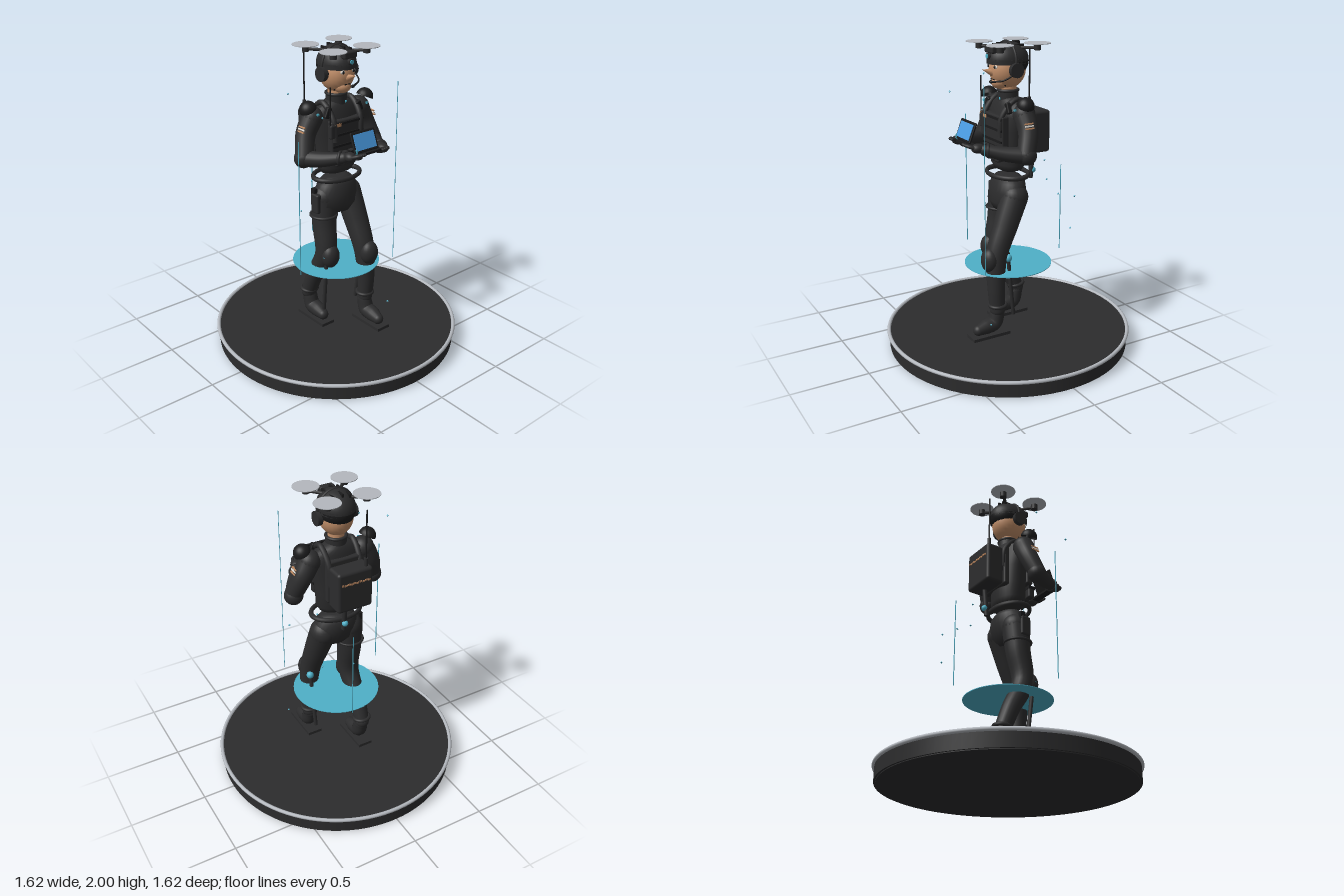
import * as THREE from 'three';
import { mergeVertices } from 'three/addons/utils/BufferGeometryUtils.js';
import { RoundedBoxGeometry } from 'three/addons/geometries/RoundedBoxGeometry.js';

const V = (a) => new THREE.Vector3(...a);

export function createModel() {
  const root = new THREE.Group();
  root.name = 'fieldOperator';
  const mat = (name, color, side = THREE.FrontSide) => {
    const m = new THREE.MeshStandardMaterial({ color, side });
    m.name = name;
    return m;
  };
  const dark = mat('charcoal', 0x2c2c2d);
  const black = mat('black', 0x1b1b1c, THREE.DoubleSide);
  const skin = mat('skin', 0xc4906a);
  const teal = mat('teal', 0x4fb0c8);
  const silver = mat('silver', 0xb4b8be);
  const blue = mat('screenBlue', 0x4a9be2);
  const tan = mat('tan', 0xbd8860);
  const white = mat('eyeWhite', 0xe0ddd6);

  // ---- helpers ----
  const add = (name, geo, m, p = [0, 0, 0], r = [0, 0, 0], s = [1, 1, 1]) => {
    const mesh = new THREE.Mesh(geo, m);
    mesh.name = name;
    mesh.position.set(...p);
    mesh.rotation.set(...r);
    mesh.scale.set(...s);
    root.add(mesh);
    return mesh;
  };
  const box = (name, size, p, m = dark, r) => add(name, new THREE.BoxGeometry(...size), m, p, r);
  const soft = (name, size, p, m = dark, r, rad = 0.012) =>
    add(name, new RoundedBoxGeometry(...size, 3, rad), m, p, r);
  const ball = (name, s, p, m = dark, r) => add(name, new THREE.SphereGeometry(1, 24, 16), m, p, r, s);
  const disc = (name, rad, h, p, m = dark, r, seg = 24) =>
    add(name, new THREE.CylinderGeometry(rad, rad, h, seg), m, p, r);
  const rod = (name, a, b, rad, m = dark) => {
    const d = V(b).sub(V(a));
    const mesh = disc(name, rad, d.length(), V(a).add(V(b)).multiplyScalar(0.5).toArray(), m, undefined, 10);
    mesh.quaternion.setFromUnitVectors(new THREE.Vector3(0, 1, 0), d.normalize());
    return mesh;
  };
  // tapered tube through points [x, y, z, radius], with round ends
  const limb = (name, pts, m = dark) => {
    const curve = new THREE.CatmullRomCurve3(pts.map((p) => V(p.slice(0, 3))));
    const n = 20, sides = 18;
    const geo = new THREE.TubeGeometry(curve, n, 1, sides);
    const pos = geo.attributes.position, v = new THREE.Vector3();
    for (let i = 0; i <= n; i++) {
      const c = curve.getPointAt(i / n);
      const t = curve.getUtoTmapping(i / n) * (pts.length - 1);
      const k = Math.min(Math.floor(t), pts.length - 2);
      const rad = THREE.MathUtils.lerp(pts[k][3], pts[k + 1][3], t - k);
      for (let j = 0; j <= sides; j++) {
        const q = i * (sides + 1) + j;
        v.fromBufferAttribute(pos, q).sub(c).multiplyScalar(rad).add(c);
        pos.setXYZ(q, v.x, v.y, v.z);
      }
    }
    add(name, geo, m);
    for (const p of [pts[0], pts[pts.length - 1]]) ball(name + 'End', [p[3], p[3], p[3]], p.slice(0, 3), m);
  };
  // stacked elliptical sections [y, halfWidth, halfDepth, z], top first
  const loft = (name, rings, m = dark) => {
    let geo = new THREE.CylinderGeometry(1, 1, 1, 28, rings.length - 1);
    const pos = geo.attributes.position;
    for (let i = 0; i < pos.count; i++) {
      const [y, rx, rz, z] = rings[Math.round((0.5 - pos.getY(i)) * (rings.length - 1))];
      pos.setXYZ(i, pos.getX(i) * rx, y, pos.getZ(i) * rz + z);
    }
    geo.deleteAttribute('normal');
    geo.deleteAttribute('uv');
    geo = mergeVertices(geo, 1e-5);
    geo.computeVertexNormals();
    add(name, geo, m);
  };
  const ring = (name, rad, tube, p, m, r, s) => add(name, new THREE.TorusGeometry(rad, tube, 10, 40), m, p, r, s);
  const flat = [Math.PI / 2, 0, 0];

  // ---- base and glowing disc ----
  disc('base', 0.792, 0.1, [0, 0.055, 0], dark, undefined, 96);
  disc('baseBottom', 0.78, 0.012, [0, 0.006, 0], dark, undefined, 96);
  add('baseRim', new THREE.TorusGeometry(0.796, 0.012, 10, 96), silver, [0, 0.104, 0], flat);
  disc('scanDisc', 0.285, 0.004, [0, 0.55, 0], teal, undefined, 64);

  // ---- legs: the left one steps forward ----
  loft('pelvis', [[1.15, 0.06, 0.04, 0], [1.143, 0.1, 0.075, 0], [1.11, 0.135, 0.098, 0], [1.05, 0.16, 0.105, 0.005],
    [0.98, 0.165, 0.1, 0.015], [0.93, 0.09, 0.07, 0.025]]);
  limb('leftLeg', [[0.09, 1.02, 0.005, 0.088], [0.102, 0.85, 0.075, 0.08], [0.113, 0.65, 0.15, 0.068],
    [0.125, 0.45, 0.16, 0.057], [0.126, 0.29, 0.152, 0.05]]);
  limb('rightLeg', [[-0.09, 1.02, -0.005, 0.088], [-0.102, 0.85, 0.005, 0.08], [-0.113, 0.64, 0.03, 0.068],
    [-0.125, 0.45, -0.068, 0.057], [-0.126, 0.29, -0.135, 0.05]]);
  for (const [s, z, kz] of [[1, 0.15, 0.2], [-1, -0.13, 0.08]]) {
    const x = s * 0.122;
    ball('kneePad', [0.062, 0.08, 0.055], [s * 0.113, 0.635, kz]);
    ring('ankleCuff', 0.052, 0.012, [s * 0.126, 0.32, z], dark, [Math.PI / 2 + (s < 0 ? 0.1 : 0), 0, 0]);
    limb('boot', [[x, 0.27, z, 0.047], [x, 0.2, z + 0.025, 0.052], [x, 0.183, z + 0.09, 0.05], [x, 0.17, z + 0.14, 0.036]]);
    box('bootSole', [0.1, 0.02, 0.265], [x, 0.125, z + 0.065]);
    ball('kneeJoint', [0.024, 0.026, 0.024], [s * 0.15, 0.64, 0.085], teal);
    rod('kneePiston', [s * 0.148, 0.62, 0.083], [s * 0.138, 0.235, 0.04], 0.013);
  }
  soft('holster', [0.035, 0.13, 0.07], [-0.172, 1.0, 0.01]);
  box('holsterGrip', [0.025, 0.05, 0.035], [-0.17, 1.07, -0.01], black);
  ring('thighStrap', 0.084, 0.009, [-0.104, 0.905, 0.002], dark, flat);
  ring('waistRing', 0.165, 0.016, [0, 1.16, 0.005], dark, flat, [1, 0.72, 1]);

  // ---- torso and vest ----
  loft('torso', [[1.66, 0.05, 0.05, -0.005], [1.635, 0.1, 0.068, -0.005], [1.6, 0.17, 0.08, -0.005], [1.54, 0.175, 0.092, 0],
    [1.45, 0.155, 0.1, 0], [1.33, 0.14, 0.102, 0], [1.23, 0.136, 0.098, 0], [1.195, 0.115, 0.08, 0], [1.175, 0.06, 0.04, 0]]);
  soft('chestPlate', [0.25, 0.2, 0.05], [0, 1.45, 0.09]);
  soft('backPlate', [0.24, 0.28, 0.04], [0, 1.44, -0.09]);
  for (const x of [-0.084, -0.028, 0.028, 0.084]) {
    soft('pouch', [0.05, 0.085, 0.045], [x, 1.305, 0.115]);
    box('pouchFlap', [0.052, 0.022, 0.05], [x, 1.335, 0.115], black);
  }
  for (const y of [1.39, 1.46, 1.53]) box('webbing', [0.24, 0.014, 0.008], [0, y, 0.117], black);
  box('chestPatch', [0.05, 0.02, 0.006], [-0.085, 1.525, 0.122], tan);
  box('chestLight', [0.012, 0.012, 0.006], [0.02, 1.645, 0.07], teal);
  soft('chestRadio', [0.05, 0.09, 0.035], [-0.12, 1.49, 0.11]);
  rod('radioAntenna', [-0.14, 1.5, 0.115], [-0.14, 1.77, 0.115], 0.004, black);
  disc('collar', 0.066, 0.08, [0, 1.655, 0]);
  ring('collarRim', 0.062, 0.01, [0, 1.69, 0], dark, flat);

  // ---- arms ----
  for (const s of [-1, 1]) {
    limb('upperArm', [[s * 0.185, 1.565, -0.005, 0.07], [s * 0.235, 1.47, -0.005, 0.063], [s * 0.28, 1.34, 0.035, 0.056]]);
    ball('elbowPad', [0.06, 0.06, 0.06], [s * 0.28, 1.335, 0.03]);
    limb('forearm', [[s * 0.28, 1.335, 0.035, 0.052], [s * 0.22, 1.345, 0.14, 0.046], [s * 0.15, 1.37, 0.25, 0.034]]);
    ring('gloveCuff', 0.036, 0.01, [s * 0.162, 1.366, 0.23], dark, [0, -s * 0.57, 0]);
    ball('hand', [0.036, 0.03, 0.042], [s * 0.13, 1.38, 0.285]);
    for (let i = 0; i < 3; i++)
      limb('finger', [[s * (0.145 - i * 0.018), 1.38, 0.3, 0.012], [s * (0.125 - i * 0.018), 1.395, 0.34, 0.011],
        [s * (0.1 - i * 0.014), 1.4, 0.355, 0.009]]);
    // shoulder sensor dish and harness
    add('shoulderDish', new THREE.SphereGeometry(0.055, 20, 10, 0, Math.PI * 2, 0, Math.PI / 2), black,
      [s * 0.225, 1.625, 0.01], [0, 0, -s * 0.45]);
    rod('dishStem', [s * 0.19, 1.59, 0], [s * 0.225, 1.65, 0.01], 0.012);
    box('dishLight', [0.012, 0.012, 0.012], [s * 0.195, 1.6, 0.065], teal);
    const strap = new THREE.CatmullRomCurve3([[0.1, 1.42, 0.115], [0.105, 1.56, 0.1], [0.11, 1.648, 0], [0.105, 1.56, -0.1],
      [0.1, 1.42, -0.115]].map(([x, y, z]) => new THREE.Vector3(s * x, y, z)));
    add('shoulderStrap', new THREE.TubeGeometry(strap, 24, 0.018, 8), dark);
    soft('strapBuckle', [0.035, 0.07, 0.03], [s * 0.125, 1.6, 0.07], black, [0, 0, s * 0.4], 0.008);
    // sleeve badge in plain bands
    for (let i = 0; i < 3; i++)
      box('sleeveBadge', [0.008, 0.009, 0.058], [s * (0.286 + i * -0.005), 1.5 + i * 0.014, 0.015], i === 1 ? white : tan, [0, 0, s * 0.35]);
  }

  // ---- tablet ----
  const tilt = [-0.38, 0, 0];
  soft('tabletBody', [0.19, 0.13, 0.014], [-0.02, 1.458, 0.285], black, tilt, 0.006);
  box('tabletScreen', [0.16, 0.1, 0.004], [-0.02, 1.461, 0.293], blue, tilt);
  box('tabletShelf', [0.26, 0.014, 0.05], [0, 1.385, 0.295], black);
  box('tabletLight', [0.012, 0.05, 0.01], [-0.1, 1.4, 0.31], teal);

  // ---- backpack ----
  soft('backpack', [0.24, 0.27, 0.125], [0, 1.425, -0.178], dark, undefined, 0.02);
  for (let i = 0; i < 10; i++)
    box('packMarking', [0.016, 0.011, 0.006], [-0.09 + i * 0.02, 1.48 + (i % 2) * 0.004, -0.241], tan);
  rod('packAntenna', [-0.085, 1.5, -0.208], [-0.085, 1.92, -0.208], 0.005, black);
  disc('antennaBase', 0.012, 0.06, [-0.085, 1.58, -0.208]);
  rod('packTube', [0.03, 1.3, -0.165], [0.03, 1.11, -0.148], 0.016);
  ball('packTubeLight', [0.02, 0.02, 0.02], [0.03, 1.16, -0.165], teal);

  // ---- head ----
  disc('neck', 0.052, 0.08, [0, 1.705, 0], skin);
  ball('head', [0.104, 0.122, 0.118], [0, 1.82, 0.005], skin);
  ball('chin', [0.055, 0.045, 0.06], [0, 1.745, 0.055], skin);
  add('nose', new THREE.ConeGeometry(0.026, 0.085, 12), skin, [0, 1.815, 0.142], [1.25, 0, 0]);
  for (const s of [-1, 1]) {
    ball('eye', [0.018, 0.011, 0.008], [s * 0.04, 1.842, 0.11], white);
    ball('pupil', [0.009, 0.01, 0.005], [s * 0.04, 1.842, 0.116], black);
    box('eyebrow', [0.036, 0.007, 0.008], [s * 0.042, 1.863, 0.107], black, [0, s * 0.35, s * 0.1]);
    disc('earCup', 0.045, 0.03, [s * 0.12, 1.825, 0.01], dark, [0, 0, Math.PI / 2]);
    disc('earCushion', 0.038, 0.03, [s * 0.1, 1.825, 0.01], black, [0, 0, Math.PI / 2]);
    rod('helmetStrap', [s * 0.098, 1.84, 0.03], [s * 0.05, 1.725, 0.05], 0.006, black);
  }
  box('mouth', [0.042, 0.007, 0.008], [0, 1.763, 0.106], black);
  limb('microphoneBoom', [[0.125, 1.8, 0.03, 0.005], [0.105, 1.768, 0.09, 0.005], [0.03, 1.752, 0.13, 0.006]], black);
  ball('microphone', [0.015, 0.01, 0.01], [0.02, 1.752, 0.132], black);

  // ---- helmet ----
  add('helmetShell', new THREE.SphereGeometry(1, 32, 14, 0, Math.PI * 2, 0, Math.PI / 2), black,
    [0, 1.875, 0.003], [0, 0, 0], [0.114, 0.113, 0.135]).material = dark;
  disc('helmetRim', 1, 0.03, [0, 1.872, 0.003], dark).scale.set(0.115, 1, 0.134);
  add('helmetBack', new THREE.SphereGeometry(1, 24, 12, Math.PI, Math.PI, Math.PI / 2, Math.PI * 0.24), black,
    [0, 1.872, 0], [0, 0, 0], [0.114, 0.11, 0.132]);
  ring('headband', 0.118, 0.008, [0, 1.87, 0.01], dark);
  for (const x of [-0.05, 0, 0.05]) box('helmetRib', [0.012, 0.02, 0.16], [x, 1.975 - Math.abs(x) * 0.25, 0], black);
  soft('goggleMount', [0.1, 0.045, 0.05], [0, 1.945, 0.115]);
  disc('headlampHousing', 0.02, 0.03, [0, 1.905, 0.13], dark, flat);
  disc('headlamp', 0.013, 0.006, [0, 1.905, 0.147], teal, flat);

  // ---- four rotors around the helmet ----
  for (const x of [-0.13, 0.13]) for (const z of [-0.13, 0.13]) {
    rod('rotorArm', [x * 0.4, 1.95, z * 0.4], [x, 1.955, z], 0.01);
    disc('rotorMotor', 0.022, 0.035, [x, 1.957, z]);
    disc('rotorDisc', 0.082, 0.004, [x, 1.982, z], silver, undefined, 32);
  }

  // ---- thin light beams and floating motes ----
  rod('beam', [-0.375, 0.6, 0.105], [-0.375, 1.48, 0.105], 0.003, teal);
  rod('beam', [0.235, 0.6, 0.297], [0.235, 1.78, 0.297], 0.002, teal);
  rod('beam', [0.08, 0.6, -0.35], [0.08, 1.18, -0.35], 0.003, teal);
  for (const p of [[0.06, 0.72, -0.45], [0.28, 1.025, -0.325], [0.07, 0.98, -0.34], [0.36, 1.195, -0.06],
    [-0.35, 1.74, -0.02], [0.21, 1.27, -0.14], [0.235, 0.25, 0.26], [-0.31, 1.65, 0.25]])
    add('mote', new THREE.OctahedronGeometry(0.008), teal, p);

  return root;
}
